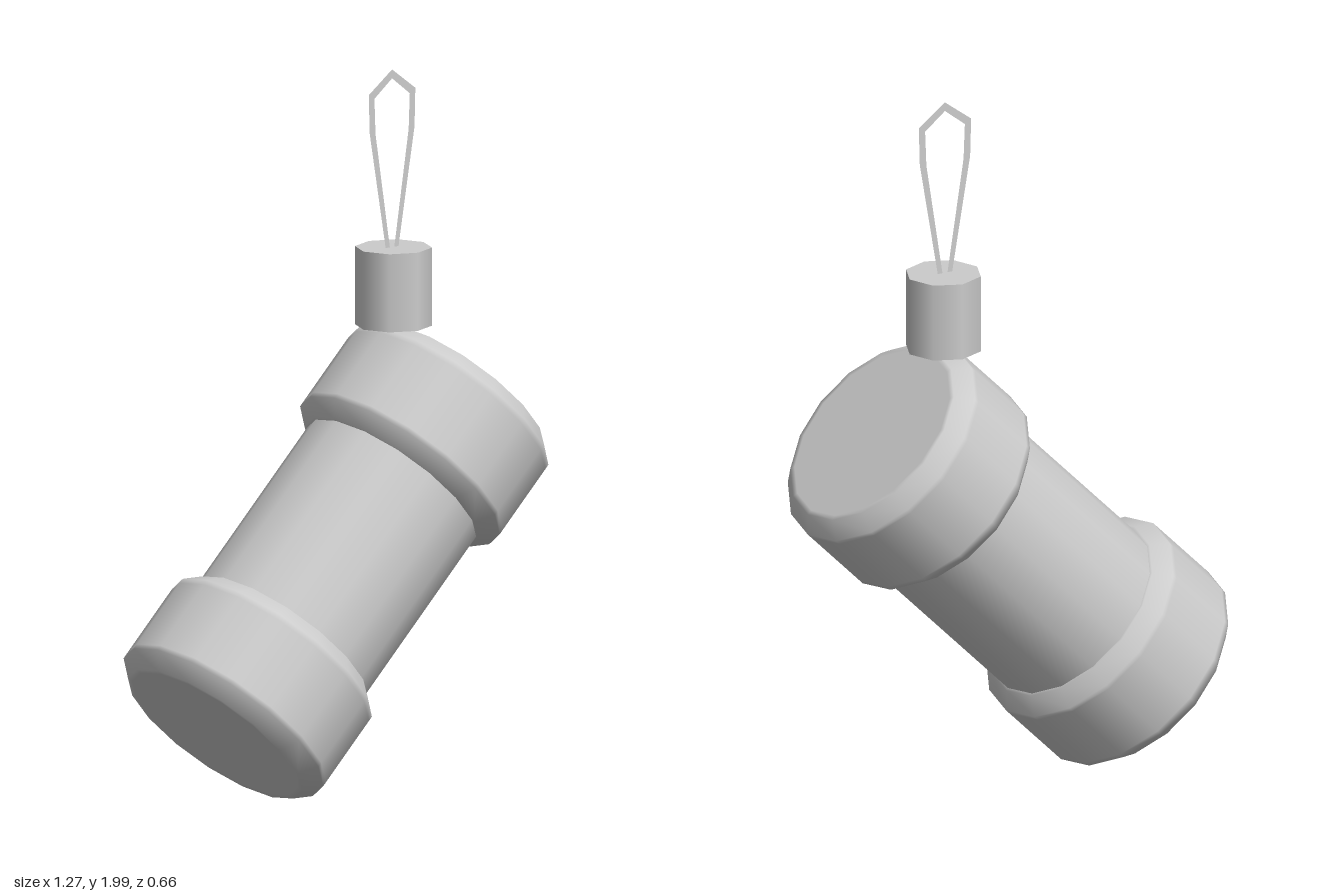
import * as THREE from 'three';

const material = new THREE.MeshStandardMaterial({ color: 0xcccccc });
const thinMaterial = new THREE.MeshStandardMaterial({ color: 0xcccccc, side: THREE.DoubleSide });

function addMesh(parent, name, geometry, mat = material) {
  const mesh = new THREE.Mesh(geometry, mat);
  mesh.name = name;
  parent.add(mesh);
  return mesh;
}

// Drum-shaped end cap along y with softly bevelled rims
function capGeometry(radius, length, bevel) {
  const h = length / 2;
  const half = [
    [0, h],
    [radius - bevel - 0.015, h],
    [radius - bevel, h],
    [radius, h - bevel],
    [radius, h - bevel - 0.015],
  ];
  const lower = half.map(([r, y]) => new THREE.Vector2(r, -y));
  const upper = half.map(([r, y]) => new THREE.Vector2(r, y)).reverse();
  return new THREE.LatheGeometry([...lower, ...upper], 16);
}

export function createModel() {
  const model = new THREE.Group();
  model.name = 'barrelCharm';

  // Tilted barrel with a cap at each end
  const barrel = new THREE.Group();
  barrel.name = 'barrel';
  barrel.position.y = 0.64;
  barrel.rotation.z = -Math.PI / 4;
  model.add(barrel);

  addMesh(barrel, 'tube', new THREE.CylinderGeometry(0.28, 0.28, 0.7, 16));
  for (const side of [-1, 1]) {
    const cap = addMesh(barrel, side > 0 ? 'upperCap' : 'lowerCap', capGeometry(0.33, 0.33, 0.042));
    cap.position.y = side * 0.445;
  }

  // Octagonal collar standing on the cap rim
  const collar = addMesh(model, 'collar', new THREE.CylinderGeometry(0.107, 0.107, 0.22, 8));
  collar.position.set(0.205, 1.39, 0);

  // Flat strap loop: right-hand outline going up, mirrored coming down
  const outer = [[0.023, 1.5], [0.08, 1.83], [0.083, 1.938], [0, 2]];
  const inner = [[0.008, 1.5], [0.059, 1.825], [0.063, 1.925], [0, 1.975]];
  const mirror = (pts) => pts.slice(0, -1).reverse().map(([x, y]) => [-x, y]);
  const outline = [...outer, ...mirror(outer), ...[...inner, ...mirror(inner)].reverse()];
  const shape = new THREE.Shape(outline.map(([x, y]) => new THREE.Vector2(x, y)));
  const loop = addMesh(model, 'strapLoop', new THREE.ShapeGeometry(shape), thinMaterial);
  loop.position.x = 0.2;

  return model;
}
